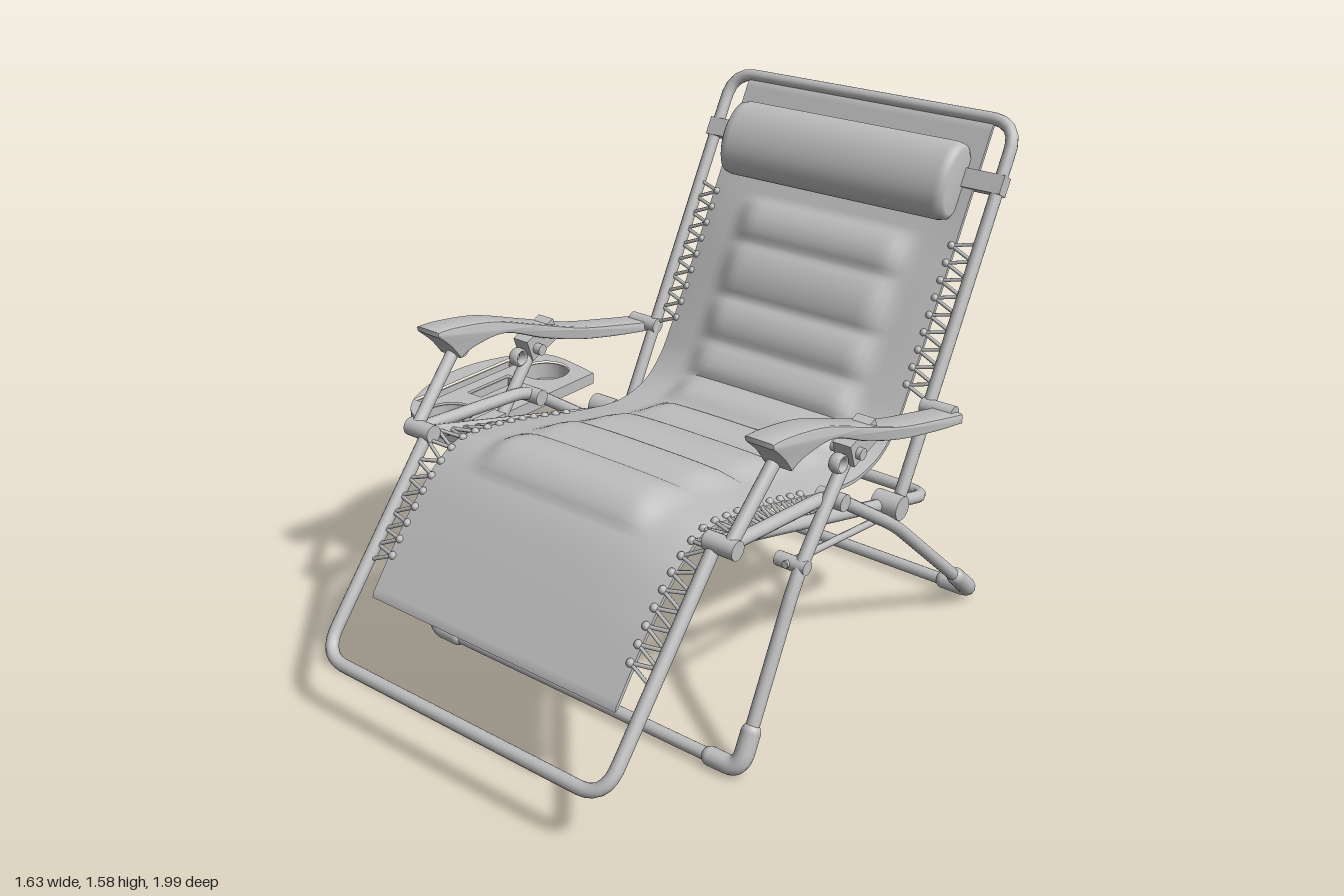
import * as THREE from 'three';
import { toCreasedNormals } from 'three/addons/utils/BufferGeometryUtils.js';

const V = (x, y, z) => new THREE.Vector3(x, y, z);
const grey = new THREE.MeshStandardMaterial({ color: 0xbfbfbf });
grey.name = 'light grey';

export function createModel() {
  const model = new THREE.Group();
  const chair = new THREE.Group();
  chair.name = 'chair';
  chair.position.x = 0.163;
  model.add(chair);

  const add = (name, geo, x = 0, y = 0, z = 0) => {
    const m = new THREE.Mesh(geo, grey);
    m.name = name;
    m.position.set(x, y, z);
    chair.add(m);
    return m;
  };

  // Tube along straight runs with rounded corners, closed by ball ends
  const bar = (name, pts, r, round = 0.08) => {
    const path = new THREE.CurvePath();
    let from = pts[0];
    for (let i = 1; i < pts.length - 1; i++) {
      const p = pts[i];
      const cut = (q) => p.clone().lerp(q, Math.min(0.48, round / p.distanceTo(q)));
      const a = cut(pts[i - 1]), b = cut(pts[i + 1]);
      path.add(new THREE.LineCurve3(from, a));
      path.add(new THREE.QuadraticBezierCurve3(a, p, b));
      from = b;
    }
    const end = pts[pts.length - 1];
    path.add(new THREE.LineCurve3(from, end));
    add(name, new THREE.TubeGeometry(path, pts.length * 28, r, 12));
    for (const e of [pts[0], end]) add(name + 'End', new THREE.SphereGeometry(r, 12, 8), e.x, e.y, e.z);
  };

  // Thin straight cylinder between two points
  const rod = (name, a, b, r, sides = 6) => {
    const m = add(name, new THREE.CylinderGeometry(r, r, a.distanceTo(b), sides));
    m.position.copy(a).lerp(b, 0.5);
    m.quaternion.setFromUnitVectors(V(0, 1, 0), b.clone().sub(a).normalize());
  };

  // Pivot pin lying along x
  const pin = (name, x, y, z, r, w) =>
    add(name, new THREE.CylinderGeometry(r, r, w, 20).rotateZ(Math.PI / 2), x, y, z);

  // U-shaped frame: side points are [halfWidth, y, z], the last one is the crossbar corner
  const uFrame = (name, side, r, round) => {
    const left = side.map(([x, y, z]) => V(-x, y, z));
    const right = side.map(([x, y, z]) => V(x, y, z)).reverse();
    bar(name, [...left, ...right], r, round);
  };

  // Main frames
  const W = 0.537;
  uFrame('backFrame', [[W, 0.505, -0.41], [W, 1.56, -0.975]], 0.02, 0.09);
  uFrame('legRestFrame', [[W, 0.735, 0.53], [W, 0.19, 0.98]], 0.02, 0.09);
  uFrame('seatFrame', [[W, 0.745, 0.52], [W, 0.45, -0.585]], 0.02, 0.08);
  uFrame('frontLegs', [[0.6, 0.86, -0.03], [0.6, 0.73, 0.08], [0.6, 0.53, 0.235], [0.6, 0.03, 0.475]], 0.02, 0.07);
  uFrame('rearLegs', [[0.575, 0.745, 0.5], [0.575, 0.71, 0.05], [0.585, 0.47, -0.31], [0.6, 0.03, -0.81]], 0.02, 0.07);

  // Fabric sling centre line, as z and y
  const sling = new THREE.CatmullRomCurve3(
    [[-0.965, 1.55], [-0.85, 1.335], [-0.7, 1.055], [-0.555, 0.79], [-0.49, 0.69], [-0.41, 0.625], [-0.28, 0.595],
      [-0.12, 0.615], [0.05, 0.655], [0.22, 0.695], [0.36, 0.718], [0.47, 0.722], [0.57, 0.67], [0.69, 0.55], [0.845, 0.352]]
      .map(([z, y]) => V(0, y, z)));
  const smooth = THREE.MathUtils.smoothstep;
  const seams = [-0.78, -0.71, -0.62, -0.545, -0.46, -0.32, -0.14, 0.12, 0.33, 0.55];
  const half = 0.462, rows = 170, cols = 36;

  // Height of the quilted pads above the sling
  const padHeight = (x, z) => {
    let h = 0.006 + 0.024 * (1 - Math.abs(x / half) ** 3) * smooth(z, -0.85, -0.7) * (1 - smooth(z, 0.45, 0.8));
    for (let i = 0; i < seams.length - 1; i++) {
      const t = (z - seams[i]) / (seams[i + 1] - seams[i]);
      if (t > 0 && t < 1) h += 0.03 * Math.sin(Math.PI * t) ** 0.6 * (1 - smooth(Math.abs(x), 0.25, 0.345));
    }
    return h;
  };
  const pos = [], index = [], ring = 2 * (cols + 1);
  for (let i = 0; i <= rows; i++) {
    const p = sling.getPointAt(i / rows), t = sling.getTangentAt(i / rows);
    const end = i === 0 || i === rows ? 0 : 1;
    for (let j = 0; j < ring; j++) {
      const top = j <= cols;
      const x = half * (2 * (top ? j : ring - 1 - j) / cols - 1);
      const h = end * (top ? padHeight(x, p.z) : -0.006);
      pos.push(x, p.y + t.z * h, p.z - t.y * h);
      if (i < rows) {
        const a = i * ring + j, c = i * ring + (j + 1) % ring;
        index.push(a, a + ring, c, c, a + ring, c + ring);
      }
    }
  }
  const cloth = new THREE.BufferGeometry();
  cloth.setAttribute('position', new THREE.Float32BufferAttribute(pos, 3));
  cloth.setIndex(index);
  add('paddedSling', toCreasedNormals(cloth, 0.9));

  // Head pillow and its strap, leaning with the back
  const lean = -Math.atan2(0.57, 1.06);
  const roll = new THREE.LatheGeometry(
    [[0, -0.425], [0.8, -0.425], [0.95, -0.415], [1, -0.39], [1, 0.39], [0.95, 0.415], [0.8, 0.425], [0, 0.425]]
      .map(([r, y]) => new THREE.Vector2(r, y)), 36).rotateZ(Math.PI / 2).scale(1, 0.125, 0.08);
  add('headPillow', roll, 0, 1.385, -0.83).rotation.x = lean;
  add('pillowStrap', new THREE.BoxGeometry(1.115, 0.06, 0.046), 0, 1.385, -0.882).rotation.x = lean;

  // Tray outline and wells
  const D = new THREE.Shape();
  D.moveTo(-0.6, -0.33);
  D.splineThru([[-0.79, -0.33], [-0.89, -0.26], [-0.955, -0.12], [-0.975, 0.02], [-0.955, 0.15], [-0.89, 0.28], [-0.79, 0.33], [-0.6, 0.3]]
    .map(([x, y]) => new THREE.Vector2(x, y)));
  D.closePath();
  const cup = (z) => {
    const hole = new THREE.Path();
    hole.absarc(-0.74, -z, 0.08, 0, Math.PI * 2, true);
    D.holes.push(hole);
    const profile = [[0, 0], [0.086, 0], [0.086, 0.06], [0.08, 0.06], [0.08, 0.006], [0, 0.006]];
    add('cupWell', toCreasedNormals(new THREE.LatheGeometry(profile.map(([r, y]) => new THREE.Vector2(r, y)), 32), 0.6),
      -0.74, 0.582, z);
  };
  const slot = (x0, x1, z0, z1, floor) => {
    D.holes.push(new THREE.Path([[x0, -z0], [x1, -z0], [x1, -z1], [x0, -z1]].map(([x, y]) => new THREE.Vector2(x, y))));
    const cx = (x0 + x1) / 2, cz = (z0 + z1) / 2, h = 0.64 - floor, w = x1 - x0, d = z1 - z0;
    add('slotFloor', new THREE.BoxGeometry(w, 0.006, d), cx, floor + 0.003, cz);
    for (const s of [-1, 1]) {
      add('slotWall', new THREE.BoxGeometry(0.005, h, d), cx + s * (w / 2 + 0.0025), floor + h / 2, cz);
      add('slotWall', new THREE.BoxGeometry(w, h, 0.005), cx, floor + h / 2, cz + s * (d / 2 + 0.0025));
    }
  };
  cup(-0.215);
  cup(0.235);
  slot(-0.81, -0.75, -0.105, 0.085, 0.6);
  slot(-0.905, -0.855, -0.21, 0.235, 0.547);
  add('sideTray', new THREE.ExtrudeGeometry(D, { depth: 0.038, bevelEnabled: false, curveSegments: 32 })
    .rotateX(-Math.PI / 2), 0, 0.612, 0);
  add('trayClip', new THREE.BoxGeometry(0.05, 0.05, 0.1), -0.6, 0.64, 0.2);
  rod('trayHook', V(-0.6, 0.63, 0.3), V(-0.6, 0.7, 0.3), 0.012, 10);

  // Armrest side profile, as z and y
  const armShape = new THREE.Shape();
  const v2 = (list) => list.map(([x, y]) => new THREE.Vector2(x, y));
  armShape.moveTo(0.44, 1.03);
  armShape.splineThru(v2([[0.36, 1.025], [0.2, 0.995], [0, 0.925], [-0.2, 0.855], [-0.4, 0.805], [-0.56, 0.768]]));
  armShape.lineTo(-0.56, 0.735);
  armShape.splineThru(v2([[-0.4, 0.765], [-0.2, 0.812], [-0.02, 0.872], [0.15, 0.94], [0.28, 0.94], [0.35, 0.92]]));
  armShape.splineThru(v2([[0.39, 0.97], [0.44, 1.015]]));
  const armGeo = toCreasedNormals(new THREE.ExtrudeGeometry(armShape,
    { depth: 0.078, bevelSize: 0.008, bevelThickness: 0.008, bevelOffset: -0.008, bevelSegments: 2, curveSegments: 24 })
    .rotateY(-Math.PI / 2).translate(0.039, 0, 0), 0.6);

  const railAt = (z) => z < 0.5 ? 0.612 + z * 0.267 : 0.735 - (z - 0.53) * 1.21;
  for (const s of [-1, 1]) {
    // Armrest, its support and locking parts
    add('armrest', armGeo, s * 0.605);
    bar('armSupport', [V(s * 0.582, 0.745, 0.53), V(s * 0.595, 0.95, 0.335)], 0.02);
    add('lockBracket', new THREE.BoxGeometry(0.06, 0.075, 0.13), s * 0.605, 0.86, -0.03).rotation.x = 0.35;
    const leverRing = add('lockLever', new THREE.TorusGeometry(0.024, 0.006, 8, 20).rotateY(Math.PI / 2), s * 0.605, 0.82, 0.055);
    leverRing.scale.x = 3;
    pin('lockPin', s * 0.6, 0.84, 0.0, 0.018, 0.1);
    pin('armFrontPin', s * 0.6, 0.945, 0.335, 0.026, 0.07);
    pin('armRearPin', s * 0.575, 0.765, -0.545, 0.026, 0.11);
    pin('kneePin', s * 0.56, 0.745, 0.525, 0.028, 0.1);
    pin('backPin', s * 0.56, 0.53, -0.315, 0.038, 0.09);
    pin('legCrossPin', s * 0.575, 0.69, 0.03, 0.026, 0.09);
    pin('legRailPin', s * 0.57, 0.56, 0.21, 0.022, 0.1);
    rod('lowerLink', V(s * 0.565, 0.565, 0.24), V(s * 0.565, 0.505, -0.29), 0.011, 8);
    rod('backLink', V(s * W, 0.53, -0.3), V(s * W, 0.505, -0.41), 0.02, 10);

    // Foot corner sleeves
    for (const [z, dz] of [[0.475, -0.048], [-0.81, 0.113]])
      bar('footCorner', [V(s * 0.6, 0.13, z + dz), V(s * 0.6, 0.03, z), V(s * 0.5, 0.03, z)], 0.029, 0.06);

    // Cord lacing between sling edge and frame
    const lace = (t0, t1, n, frame) => {
      const step = (t1 - t0) / n;
      for (let i = 0; i < n; i++) {
        const p = sling.getPointAt(t0 + i * step);
        const eye = V(s * 0.45, p.y + 0.008, p.z);
        add('eyelet', new THREE.SphereGeometry(0.013, 8, 6), eye.x, eye.y, eye.z);
        for (const k of [-0.5, 0.5]) {
          const q = sling.getPointAt(t0 + (i + k) * step);
          rod('cord', eye, frame(q), 0.006);
        }
      }
    };
    lace(0.16, 0.36, 9, (q) => V(s * 0.53, q.y, -0.975 + (1.56 - q.y) * 0.535));
    lace(0.6, 0.97, 18, (q) => V(s * 0.53, railAt(q.z), q.z));
  }
  return model;
}
